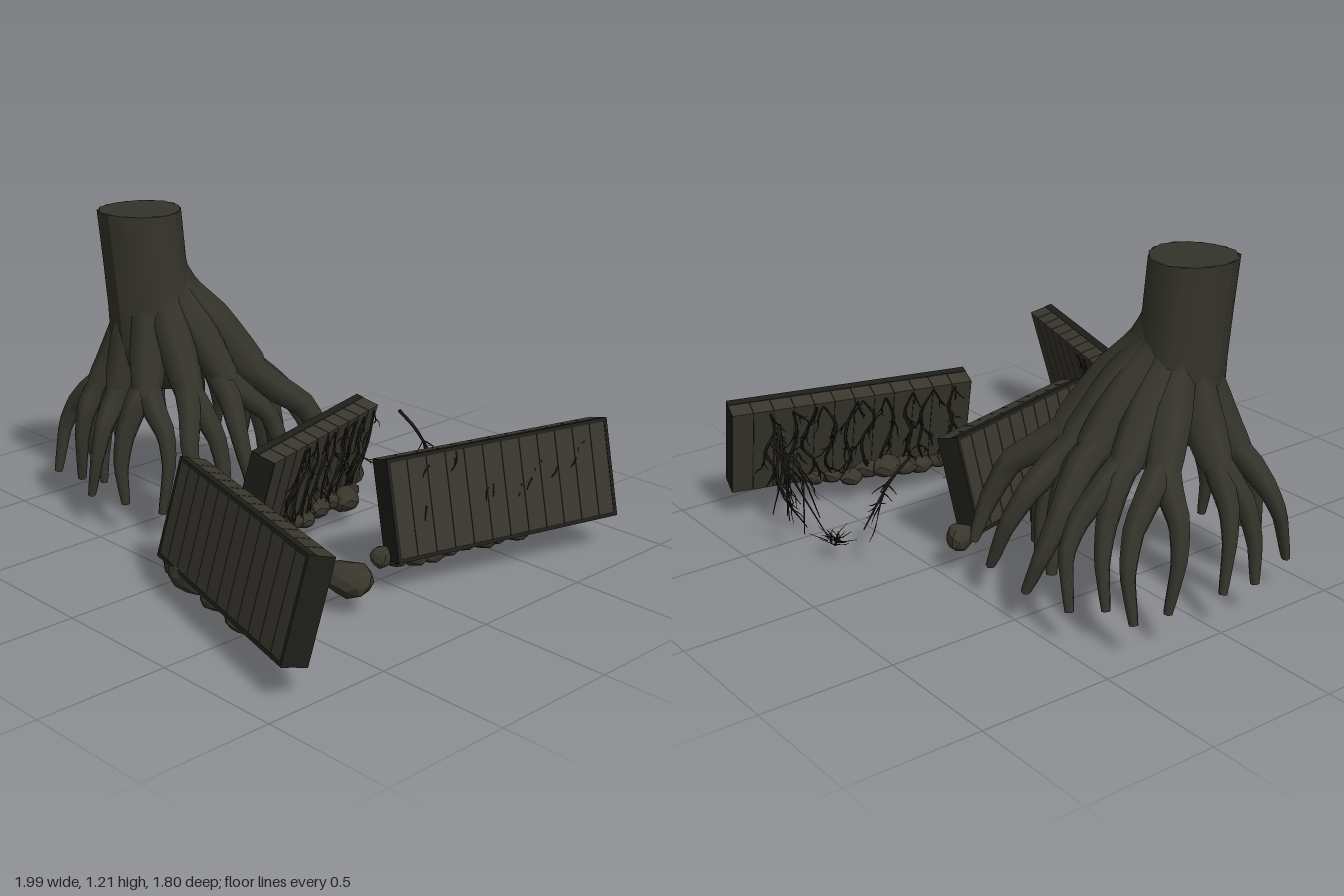
import * as THREE from 'three';
import { mergeGeometries } from 'three/addons/utils/BufferGeometryUtils.js';

const V = (x, y, z) => new THREE.Vector3(x, y, z);
const lerp = THREE.MathUtils.lerp;

export function createModel() {
  const paint = (name, color, side = THREE.FrontSide) => {
    const m = new THREE.MeshStandardMaterial({ color, side });
    m.name = name;
    return m;
  };
  const bark = paint('bark', 0x35342b, THREE.DoubleSide);
  const board = paint('weathered board', 0x38362d);
  const trim = paint('dark trim', 0x1d1e19);
  const stone = paint('stone', 0x38352b);
  const twigWood = paint('twig', 0x1f1d17, THREE.DoubleSide);

  let seed = 7;
  const rnd = () => (seed = (seed * 16807) % 2147483647) / 2147483647;
  const jit = (a) => (rnd() * 2 - 1) * a;

  const model = new THREE.Group();
  const add = (parent, name, geo, mat) => {
    const mesh = new THREE.Mesh(geo, mat);
    mesh.name = name;
    parent.add(mesh);
    return mesh;
  };

  // Tube whose radius follows a list of values along its path; low tension gives sharper knees
  function taperedTube(points, radii, segments, sides, tension = 0.5) {
    const curve = new THREE.CatmullRomCurve3(points, false, 'catmullrom', tension);
    const geo = new THREE.TubeGeometry(curve, segments, 1, sides);
    const pos = geo.attributes.position, p = V(0, 0, 0);
    for (let i = 0; i < pos.count; i++) {
      const u = Math.floor(i / (sides + 1)) / segments;
      const c = curve.getPointAt(u);
      const f = curve.getUtoTmapping(u) * (radii.length - 1);
      const k = Math.min(Math.floor(f), radii.length - 2);
      p.fromBufferAttribute(pos, i).sub(c).multiplyScalar(lerp(radii[k], radii[k + 1], f - k)).add(c);
      pos.setXYZ(i, p.x, p.y, p.z);
    }
    return geo;
  }

  // ---- Tree stump ----
  const tree = new THREE.Group();
  tree.name = 'treeStump';
  model.add(tree);
  const shapeTrunk = (geo) => {
    const pos = geo.attributes.position;
    for (let i = 0; i < pos.count; i++) {
      const x = pos.getX(i), y = pos.getY(i), z = pos.getZ(i);
      const k = 1 + 0.04 * Math.sin(3 * Math.atan2(z, x) + 1);
      const lean = Math.max(0, 1.15 - y) * 0.09;
      pos.setXYZ(i, x * k - 0.605 + lean, y, z * k + 0.18 - lean);
    }
    geo.computeVertexNormals();
    return geo;
  };
  const profile = [[0.001, 0.5], [0.1, 0.53], [0.165, 0.62], [0.175, 0.72], [0.165, 0.84], [0.157, 1.02], [0.158, 1.21]];
  add(tree, 'trunk', shapeTrunk(new THREE.LatheGeometry(profile.map(([r, y]) => new THREE.Vector2(r, y)), 10)), bark);
  add(tree, 'trunkTop', shapeTrunk(new THREE.CircleGeometry(0.158, 10).rotateX(-Math.PI / 2).translate(0, 1.21, 0)), bark);

  // Thick limbs arch out of the trunk: [thickness, ...tips], each tip [x, z, sideways bend]
  const limbs = [
    [1.15, [-0.12, -0.40, 0.03], [-0.26, -0.22, -0.03]],
    [1.05, [-0.32, -0.47, -0.05], [-0.42, -0.33, 0.03]],
    [1.1, [-0.55, -0.49, -0.05], [-0.50, -0.34, 0.03]],
    [0.95, [-0.75, -0.46, 0.05], [-0.82, -0.36, 0.03]],
    [1, [-0.95, -0.35, 0.04], [-0.96, -0.21, -0.04]],
    [0.95, [-0.97, 0.03, -0.03], [-0.98, 0.17, -0.02]],
    [0.95, [-0.91, 0.39, 0.04], [-0.78, 0.37, -0.03]],
    [0.9, [-0.61, 0.45, -0.03], [-0.69, 0.33, 0.02]],
    [0.95, [-0.45, 0.41, 0.03], [-0.28, 0.37, -0.04]],
    [0.95, [-0.12, 0.29, 0.04], [-0.13, 0.20, -0.03]],
    [0.95, [-0.10, 0.06, 0.04], [-0.13, -0.13, -0.05]],
  ];
  const cx = -0.58, cz = 0.155;
  limbs.forEach(([thick, ...tips]) => {
    const mx = (tips[0][0] + tips[1][0]) / 2 - cx, mz = (tips[0][1] + tips[1][1]) / 2 - cz;
    const d = Math.hypot(mx, mz), ux = mx / d, uz = mz / d;
    const lift = 0.055 * (ux - uz); // limbs leave the trunk higher on its leaning side
    const at = (r, y) => V(cx + ux * r, y, cz + uz * r);
    const fork = at(d * 0.6, 0.555 + lift * 0.5);
    add(tree, 'limb', taperedTube([at(0.06, 0.95 + lift), at(0.105, 0.81 + lift), at(lerp(0.105, d * 0.6, 0.45), 0.685 + lift), fork, at(d * 0.68, fork.y - 0.05)],
      [0.05, 0.075, 0.08, 0.064, 0.03].map((r) => r * thick), 10, 7), bark);
    // Each limb forks into kinked roots that drop to the ground
    tips.forEach(([tx, tz, bend]) => {
      const path = (t, y, b) => V(lerp(fork.x, tx, t) - uz * bend * b, y, lerp(fork.z, tz, t) + ux * bend * b);
      const pts = [at(d * 0.5, fork.y + 0.04), path(0.28, 0.5 + lift * 0.3 + jit(0.02), 0.4), path(0.62, 0.41 + jit(0.02), 1),
        path(0.86, 0.28 + jit(0.03), 0.9), path(1, 0.125, 0)];
      const geo = taperedTube(pts, [0.05, 0.052, 0.041, 0.03, 0.017].map((r) => r * thick), 12, 6, 0.25);
      const pos = geo.attributes.position;
      for (let i = 0; i < pos.count; i++) pos.setY(i, Math.max(0.125, pos.getY(i)));
      add(tree, 'root', geo, bark);
    });
  });

  // ---- Stones ----
  function rock(parent, x, y, z, rx, ry, rz) {
    const geo = new THREE.IcosahedronGeometry(1, 1);
    const pos = geo.attributes.position, a = rnd() * 6;
    for (let i = 0; i < pos.count; i++) {
      const p = V(0, 0, 0).fromBufferAttribute(pos, i);
      p.multiplyScalar(1 + 0.13 * Math.sin(p.x * 3 + a) * Math.cos(p.z * 3 - a + p.y * 2));
      pos.setXYZ(i, p.x * rx, p.y * ry, p.z * rz);
    }
    geo.computeVertexNormals();
    add(parent, 'stone', geo, stone).position.set(x, y, z);
  }

  // ---- Twigs ----
  function branch(list, start, dir, length, radius, depth) {
    const mid = start.clone().addScaledVector(dir, length * 0.5).add(V(jit(0.15), jit(0.1), jit(0.15)).multiplyScalar(length));
    const end = start.clone().addScaledVector(dir, length);
    list.push(taperedTube([start, mid, end], [radius, radius * 0.75, radius * 0.3], 4, 4));
    if (depth > 0) {
      for (const from of [mid, mid, end]) {
        const d = dir.clone().add(V(jit(0.8), jit(0.5), jit(0.8))).normalize();
        branch(list, from, d, length * 0.55, radius * 0.6, depth - 1);
      }
    }
  }

  // ---- Board panels, tilted backwards; H is height along the face, T is thickness ----
  const H = 0.366, T = 0.1, TILT = 0.265;
  const box = (x0, x1, y0, y1, z0, z1) =>
    new THREE.BoxGeometry(x1 - x0, y1 - y0, z1 - z0).translate((x0 + x1) / 2, (y0 + y1) / 2, (z0 + z1) / 2);
  function panel(name, x, z, yaw, length, boards, vines, rocks) {
    const g = new THREE.Group();
    g.name = name;
    g.position.set(x, 0, z);
    g.rotation.y = yaw;
    model.add(g);
    const slab = new THREE.Group();
    slab.name = 'boards';
    slab.position.set(0, 0.11, 0);
    slab.rotation.x = -TILT;
    g.add(slab);
    // Boards with narrow joints over a dark core
    const h = length / 2, w = length / boards, joint = 0.0018;
    for (let i = 0; i < boards; i++) {
      const x0 = -h + i * w;
      add(slab, 'board', box(x0 + joint, x0 + w - joint, 0, H, 0, T - 0.002), board);
    }
    add(slab, 'core', box(-h + 0.01, h - 0.01, 0.003, H - 0.003, 0.003, T - 0.005), trim);
    // Dark border round the front face and over both ends
    const t = 0.012, e = 0.002, zb = T - 0.03;
    add(slab, 'border', box(-h, h, H - t, H + e, zb, T), trim);
    add(slab, 'border', box(-h, h, -e, t, zb, T), trim);
    [-1, 1].forEach((s) => {
      add(slab, 'border', box(s * h - (s > 0 ? t : e), s * h + (s > 0 ? e : t), -e, H + e, zb, T), trim);
      add(slab, 'endCap', box(s * h - e, s * h + e, 0, H, 0.002, zb), trim);
    });
    // Vines creeping down the back
    const list = [];
    vines.forEach((vx) => {
      const pts = [0.97, 0.73, 0.49, 0.25, 0.02].map((f) => V(vx + jit(0.03), f * H, -0.003 - rnd() * 0.008));
      list.push(taperedTube(pts, [0.003, 0.006, 0.006, 0.005, 0.002], 10, 4));
      pts.slice(0, 4).forEach((p) => branch(list, p, V(jit(0.8), -0.7, -0.12 * rnd()).normalize(), 0.07, 0.004, 1));
      if (rnd() < 0.5) branch(list, pts[1 + Math.floor(rnd() * 3)], V(jit(0.5), 0.1, -1).normalize(), 0.07, 0.004, 1);
    });
    add(slab, 'vines', mergeGeometries(list), twigWood);
    rocks.forEach((r) => rock(g, ...r));
    return slab;
  }

  panel('frontPanel', 0.51, 0.677, -0.275, 0.955, 12, [-0.14, -0.08], [
    [-0.42, 0.12, 0.03, 0.075, 0.05, 0.065], [-0.32, 0.115, 0.04, 0.12, 0.06, 0.065],
    [-0.12, 0.105, 0.03, 0.075, 0.04, 0.055], [0.07, 0.1, 0.03, 0.07, 0.03, 0.05],
  ]);
  const rowOfRocks = (from, to, n, z) => Array.from({ length: n }, (_, i) => {
    const r = 0.035 + rnd() * 0.022;
    return [lerp(from, to, i / (n - 1)), 0.112 + jit(0.015), z + jit(0.02), r * 1.15, r * 0.85, r];
  });
  panel('middlePanel', 0.083, -0.03, -1.305, 0.745, 10,
    [-0.33, -0.27, -0.2, -0.13, -0.07, 0, 0.06, 0.13, 0.2], rowOfRocks(-0.32, 0.34, 9, -0.01));
  const sidePanel = panel('sidePanel', 0.687, -0.415, 1.31, 0.95, 12,
    [-0.38, -0.3, -0.22, -0.14, -0.06, 0.02, 0.1, 0.18, 0.25, 0.33], rowOfRocks(-0.43, 0.15, 9, 0));

  // Twig ends poking through the side panel's front
  const pokes = [];
  for (let i = 0; i < 12; i++) {
    const start = V(lerp(-0.4, 0.42, (i + rnd()) / 12), lerp(0.12, 0.35, rnd()), T - 0.002);
    branch(pokes, start, V(-0.5 + jit(0.4), -0.7, 0.1).normalize(), 0.05, 0.004, 0);
  }
  add(sidePanel, 'twigEnds', mergeGeometries(pokes), twigWood);

  // Loose stones
  rock(model, 0.6, 0.12, 0.26, 0.095, 0.06, 0.08);
  rock(model, -0.08, 0.135, -0.43, 0.05, 0.05, 0.06);
  rock(model, 0.565, 0.13, 0.06, 0.04, 0.04, 0.045);

  // Loose hanging twigs, a scrubby tuft and the long roots below the side panel
  const loose = (name, build) => {
    const list = [];
    build(list);
    add(model, name, mergeGeometries(list), twigWood);
  };
  loose('hangingTwig', (l) => {
    l.push(taperedTube([V(0.09, 0.42, -0.52), V(0.13, 0.32, -0.59), V(0.19, 0.13, -0.67)], [0.007, 0.007, 0.003], 8, 4));
    branch(l, V(0.12, 0.35, -0.57), V(0.7, -0.8, -0.1).normalize(), 0.13, 0.005, 1);
    branch(l, V(0.14, 0.3, -0.6), V(-0.4, -0.8, -0.6).normalize(), 0.14, 0.005, 1);
    branch(l, V(0.15, 0.25, -0.62), V(0.7, -0.6, 0.2).normalize(), 0.1, 0.004, 1);
  });
  loose('smallTwig', (l) => {
    branch(l, V(0.43, 0.32, -0.9), V(-0.1, -1, 0.6).normalize(), 0.14, 0.005, 1);
    branch(l, V(0.43, 0.27, -0.87), V(-0.4, -0.9, 0.3).normalize(), 0.1, 0.004, 1);
  });
  loose('tuft', (l) => {
    for (let i = 0; i < 36; i++) {
      branch(l, V(0.27 + jit(0.03), 0.07, -0.74 + jit(0.02)), V(jit(1), 0.1 + rnd() * 0.4, jit(0.7)).normalize(), 0.045 + rnd() * 0.03, 0.002, 0);
    }
  });
  loose('hangingRoots', (l) => {
    for (let i = 0; i < 8; i++) {
      const a = V(0.645, 0.42 - rnd() * 0.12, -0.75 + jit(0.04));
      const m = V(lerp(0.54, 0.63, i / 7), 0.22 + jit(0.04), -0.75 + jit(0.04));
      const b = V(lerp(0.43, 0.67, i / 7), 0.002 + (i % 4) * 0.03, -0.74 + jit(0.07));
      l.push(taperedTube([a, m, b], [0.007, 0.005, 0.002], 8, 4));
      if (i % 2) branch(l, m, V(-0.6, -0.7, jit(0.5)).normalize(), 0.09, 0.004, 1);
    }
  });
  return model;
}
